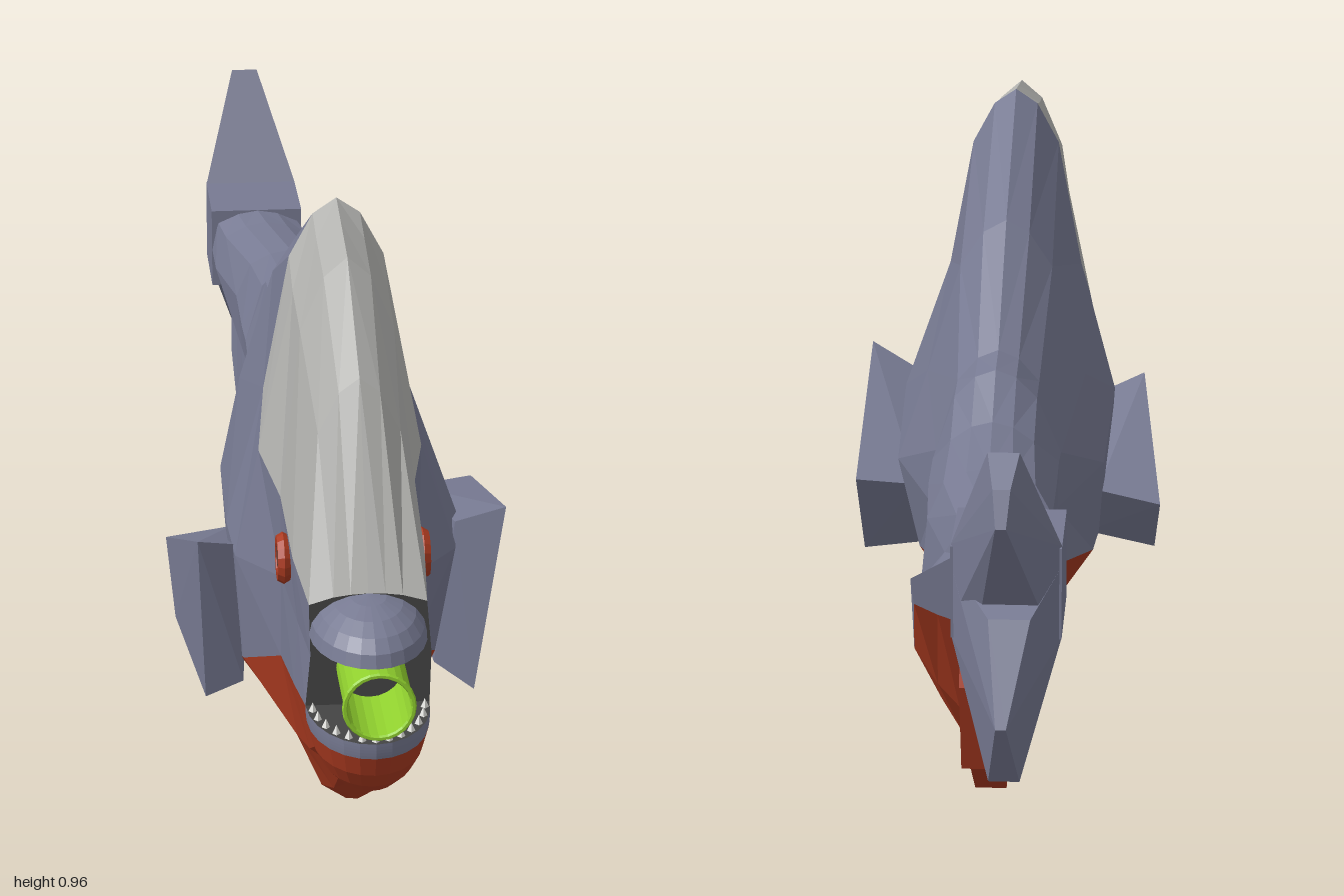
import * as THREE from 'three';
import { ConvexGeometry } from 'three/addons/geometries/ConvexGeometry.js';

const material = (name, color, opts = {}) => {
  const m = new THREE.MeshStandardMaterial({ color, flatShading: true, ...opts });
  m.name = name;
  return m;
};

export function createModel() {
  const group = new THREE.Group();
  const two = { side: THREE.DoubleSide };
  const blue = material('slate blue', 0x777a92, two);
  const red = material('belly red', 0xaa3a20, two);
  const grey = material('forehead grey', 0xb3b3b0);
  const green = material('pipe green', 0x90d02e, two);
  const dark = material('mouth dark', 0x444444, two);
  const white = material('tooth white', 0xeeeeea);

  const add = (name, geometry, mat, parent = group) => {
    const mesh = new THREE.Mesh(geometry, mat);
    mesh.name = name;
    parent.add(mesh);
    return mesh;
  };
  const hull = (points) => new ConvexGeometry(points.map((p) => new THREE.Vector3(...p)));

  // Body sections, front to back:
  // z, bottom, belly line, brow line, top, then half widths from belly to back
  const sections = [
    [0.86, 0.25, 0.37, 0.53, 0.545, 0.075, 0.09, 0.092, 0.085, 0.05],
    [0.72, 0.14, 0.335, 0.54, 0.82, 0.072, 0.095, 0.1, 0.097, 0.06],
    [0.53, 0.04, 0.29, 0.555, 0.935, 0.075, 0.1, 0.11, 0.1, 0.07],
    [0.42, 0.02, 0.235, 0.585, 0.953, 0.075, 0.15, 0.18, 0.125, 0.072],
    [0.35, 0.01, 0.215, 0.66, 0.965, 0.075, 0.157, 0.19, 0.112, 0.072],
    [0.06, 0.055, 0.25, 0.56, 0.82, 0.073, 0.145, 0.18, 0.13, 0.075],
    [-0.16, 0.095, 0.31, 0.5, 0.67, 0.07, 0.1, 0.105, 0.1, 0.065],
    [-0.23, 0.08, 0.335, 0.51, 0.66, 0.07, 0.1, 0.1, 0.1, 0.065],
    [-0.32, 0.07, 0.355, 0.5, 0.605, 0.07, 0.1, 0.1, 0.1, 0.065],
    [-0.47, 0.125, 0.3, 0.5, 0.583, 0.07, 0.1, 0.1, 0.095, 0.07],
    [-0.61, 0.24, 0.345, 0.5, 0.585, 0.065, 0.1, 0.1, 0.09, 0.072],
    [-0.67, 0.41, 0.44, 0.52, 0.59, 0.06, 0.095, 0.1, 0.08, 0.07],
  ];
  // One side of a section; the upper rear bends towards the model's right
  const ring = ([z, yb, yc, yg, yt, w2, w3, w4, w5, w6], side) => {
    const bend = z < -0.45 ? -0.05 * ((-0.45 - z) / 0.22) : 0;
    return [
      [0, yb], [w2 / 2, yb + 0.1 * (yc - yb)], [w2, yb + 0.45 * (yc - yb)], [w3, yc],
      [side < 0 ? w4 * 0.9 : w4, (yc + yg) / 2], [w5, yg],
      [w6, yt - 0.3 * (yt - yg)], [w6 / 2, yt - 0.08 * (yt - yg)], [0, yt],
    ].map(([x, y], j) => [x * side + (j > 4 ? bend : 0), y, z]);
  };
  const skin = { belly: [], flank: [], forehead: [], throat: [] };
  for (const side of [1, -1]) {
    const tri = (list, a, b, c) => list.push(...a, ...(side > 0 ? b : c), ...(side > 0 ? c : b));
    const rings = sections.map((s) => ring(s, side));
    for (let i = 0; i < rings.length - 1; i++) {
      for (let j = 0; j < 8; j++) {
        const list = j < 3 ? skin.belly : j > 4 && i < 4 ? skin.forehead : skin.flank;
        const [a, b, c, d] = [rings[i][j], rings[i + 1][j], rings[i + 1][j + 1], rings[i][j + 1]];
        tri(list, a, b, c);
        tri(list, a, c, d);
      }
    }
    // End caps
    const first = rings[0], last = rings[rings.length - 1];
    for (let j = 0; j < 8; j++) {
      tri(skin.throat, [0, 0.42, 0.86], first[j], first[j + 1]);
      tri(skin.flank, [0, 0.5, -0.67], last[j + 1], last[j]);
    }
  }
  const skinMaterials = { belly: red, flank: blue, forehead: grey, throat: dark };
  for (const [name, list] of Object.entries(skin)) {
    const g = new THREE.BufferGeometry();
    g.setAttribute('position', new THREE.Float32BufferAttribute(list, 3));
    g.computeVertexNormals();
    add(name, g, skinMaterials[name]);
  }

  // Mouth: upper lip, lower lip, chin and their dark inner faces
  const shell = (name, t0, t1, mat, y, r) => {
    const g = new THREE.SphereGeometry(1, 12, 5, 0, Math.PI, t0, t1 - t0);
    g.scale(...r).translate(0, y, 0.86);
    add(name, g, mat);
  };
  const lipR = [0.085, 0.062, 0.12], jawR = [0.09, 0.125, 0.13];
  shell('upperLip', 0, Math.PI / 2, blue, 0.483, lipR);
  shell('lowerLip', Math.PI / 2, Math.PI / 2 + 0.2, blue, 0.37, jawR);
  shell('chin', Math.PI / 2 + 0.2, Math.PI, red, 0.37, jawR);
  for (const [name, y, r] of [['palate', 0.483, lipR], ['mouthFloor', 0.37, jawR]]) {
    const g = new THREE.CircleGeometry(1, 12, 0, Math.PI);
    g.rotateX(Math.PI / 2).scale(r[0], 1, r[2]).translate(0, y, 0.86);
    add(name, g, dark);
  }
  // Small teeth along the lower lip
  for (let i = 0; i <= 12; i++) {
    const a = 0.15 + (i / 12) * (Math.PI - 0.3);
    const tooth = add('tooth', new THREE.ConeGeometry(0.006, 0.014, 4), white);
    tooth.position.set(Math.cos(a) * 0.082, 0.377, 0.86 + Math.sin(a) * 0.12);
  }

  // Pipe held in the mouth
  const pipe = new THREE.Group();
  pipe.name = 'pipe';
  pipe.position.set(0.003, 0.432, 0);
  group.add(pipe);
  const tube = new THREE.CylinderGeometry(0.049, 0.049, 0.13, 24, 1, true);
  add('pipeTube', tube.rotateX(Math.PI / 2).translate(0, 0, 0.93), green, pipe);
  add('pipeRim', new THREE.TorusGeometry(0.049, 0.004, 6, 24).translate(0, 0, 0.996), green, pipe);

  // Eyes
  for (const side of [1, -1]) {
    const eye = new THREE.Group();
    eye.name = side > 0 ? 'leftEye' : 'rightEye';
    eye.position.set(side * 0.104, 0.5, 0.63);
    eye.rotation.y = (side * Math.PI) / 2;
    group.add(eye);
    add('eyeRing', new THREE.TorusGeometry(0.028, 0.011, 6, 16), red, eye);
    const pupil = new THREE.CylinderGeometry(0.02, 0.02, 0.016, 12);
    add('pupil', pupil.rotateX(Math.PI / 2), dark, eye);
  }

  // Side fins: a root quad flaring to a tip quad
  add('leftFin', hull([
    [0.18, 0.45, 0.41], [0.15, 0.36, 0.06], [0.13, 0.23, 0.14], [0.15, 0.21, 0.41],
    [0.255, 0.485, 0.44], [0.25, 0.37, 0.05], [0.245, 0.215, 0.14], [0.21, 0.175, 0.44],
  ]), blue);
  add('rightFin', hull([
    [-0.16, 0.42, 0.4], [-0.15, 0.33, 0.13], [-0.13, 0.23, 0.2], [-0.15, 0.19, 0.41],
    [-0.22, 0.44, 0.43], [-0.255, 0.31, 0.12], [-0.245, 0.205, 0.2], [-0.21, 0.175, 0.43],
  ]), blue);

  // Tail stalk and the two lobes of the fork
  const stalk = [];
  for (const y of [0.45, 0.59])
    for (const [x, z] of [[-0.13, -0.66], [0.03, -0.66], [-0.13, -0.82], [0.03, -0.82]]) stalk.push([x, y, z]);
  add('tailStalk', hull(stalk), blue);
  const lobe = (name, points) => {
    const ends = points.flatMap(([z, y, x0, x1]) => [[x0, y, z], [x1, y, z]]);
    add(name, hull(ends), blue);
  };
  lobe('upperTailLobe', [
    [-0.81, 0.59, -0.13, 0.03], [-0.81, 0.47, -0.13, 0.03], [-0.89, 0.53, -0.1, -0.02],
    [-0.92, 0.77, -0.075, -0.03], [-0.975, 0.735, -0.065, -0.04], [-0.998, 0.685, -0.06, -0.045],
  ]);
  lobe('lowerTailLobe', [
    [-0.81, 0.56, -0.13, 0.03], [-0.81, 0.45, -0.13, 0.03], [-0.92, 0.52, -0.09, -0.03],
    [-0.92, 0.27, -0.075, -0.03], [-1.0, 0.385, -0.06, -0.045],
  ]);

  // Fin under the tail
  const outline = [[-0.28, 0.1], [-0.365, 0.005], [-0.51, 0.115], [-0.68, 0.18], [-0.725, 0.33],
    [-0.68, 0.43], [-0.58, 0.3], [-0.46, 0.2]];
  const shape = new THREE.Shape(outline.map((p) => new THREE.Vector2(...p)));
  const fin = new THREE.ExtrudeGeometry(shape, { depth: 0.05, bevelEnabled: false });
  add('bellyFin', fin.rotateY(-Math.PI / 2).translate(0.025, 0, 0), red);

  return group;
}
